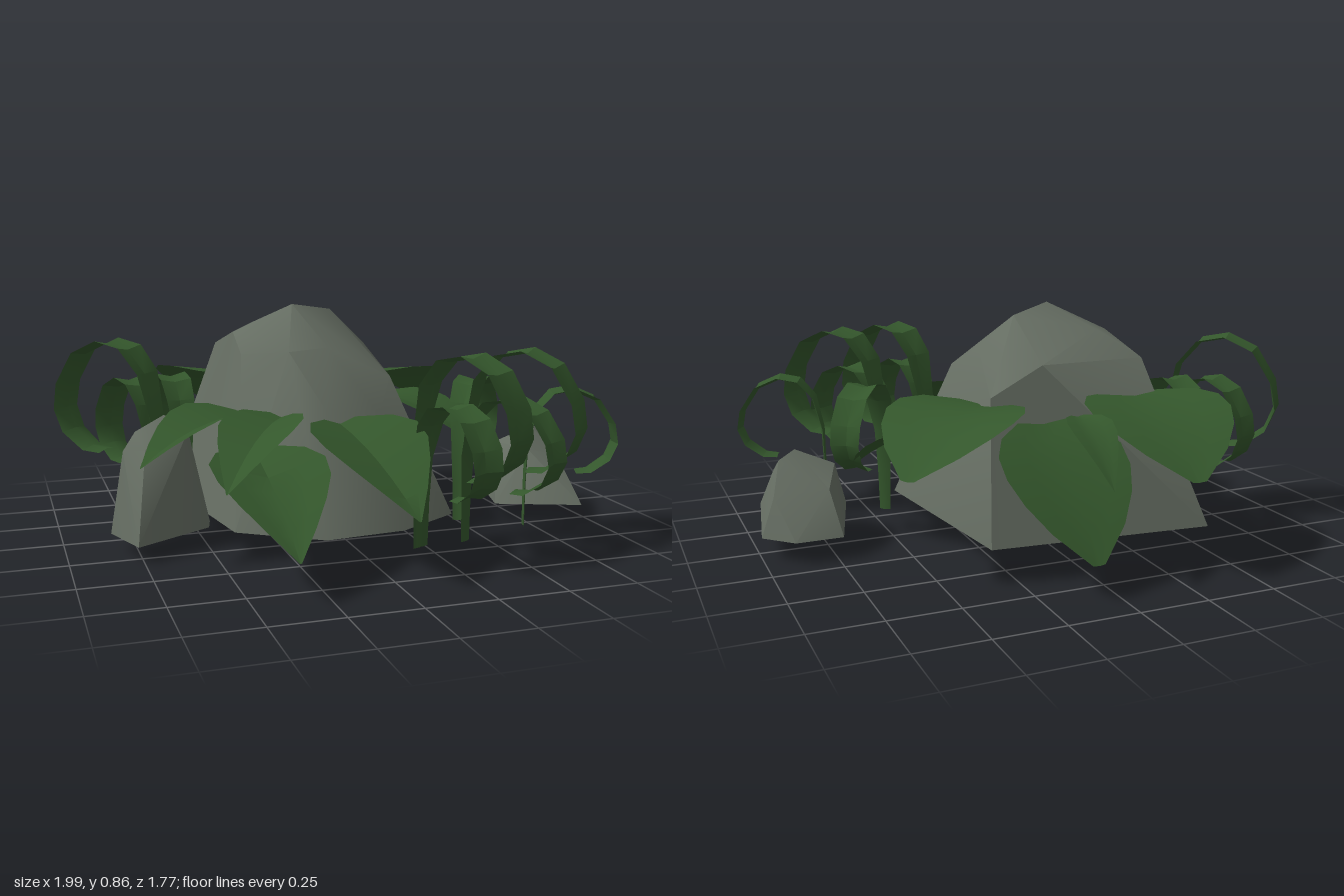
import * as THREE from 'three';
import { toCreasedNormals } from 'three/addons/utils/BufferGeometryUtils.js';
import { ConvexGeometry } from 'three/addons/geometries/ConvexGeometry.js';

const V = (x, y, z) => new THREE.Vector3(x, y, z);

// Surface through rows of points, all rows the same length
function loft(rows) {
  const n = rows[0].length, index = [];
  for (let i = 0; i < rows.length - 1; i++) {
    for (let j = 0; j < n - 1; j++) {
      const a = i * n + j, b = a + 1, c = a + n, d = c + 1;
      index.push(a, b, c, b, d, c);
    }
  }
  const geo = new THREE.BufferGeometry().setFromPoints(rows.flat());
  geo.setIndex(index);
  return toCreasedNormals(geo, 0.55);
}

// Broad leaf along an arched midrib, its two halves rising into a shallow V
const POINTED = [0.3, 0.78, 1, 0.95, 0.72, 0.4, 0.02];
const ROUND = [0.42, 0.82, 1, 1, 0.86, 0.58, 0.1];
function leafGeometry(base, tip, width, fold, arch, profile) {
  const mid = base.clone().lerp(tip, 0.5).add(V(0, arch * 2, 0));
  const rib = new THREE.QuadraticBezierCurve3(base, mid, tip);
  const side = V(tip.z - base.z, 0, base.x - tip.x).normalize();
  return loft(profile.map((w, i) => {
    const p = rib.getPoint(i / (profile.length - 1));
    return [-1, -0.55, 0, 0.55, 1].map((s) => p.clone()
      .addScaledVector(side, s * w * width / 2)
      .add(V(0, fold * w * Math.abs(s), 0)));
  }));
}

// Strap leaf: narrow stem that rises, arches over and curls back under
const ARCH = [[0, 0], [0, 0.3], [0.01, 0.6], [0.1, 0.84], [0.28, 0.97], [0.52, 1],
  [0.78, 0.93], [0.96, 0.76], [1, 0.62], [0.92, 0.5], [0.72, 0.41], [0.56, 0.4]];
const STRAP_W = [0.38, 0.45, 0.6, 0.9, 1, 1, 1, 1, 0.95, 0.9, 0.8, 0.65];
function strapGeometry(base, dir, reach, height, width) {
  const d = V(dir[0], 0, dir[1]).normalize();
  const side = V(d.z, 0, -d.x);
  const at = (i) => {
    const [s, y] = ARCH[Math.min(Math.max(i, 0), ARCH.length - 1)];
    return base.clone().addScaledVector(d, s * reach).add(V(0, y * height, 0));
  };
  return loft(ARCH.map((_, i) => {
    const tangent = at(i + 1).sub(at(i - 1)).normalize();
    const out = tangent.cross(side).normalize();
    return [-1, 0, 1].map((s) => at(i)
      .addScaledVector(side, s * STRAP_W[i] * width / 2)
      .addScaledVector(out, s === 0 ? -0.015 * STRAP_W[i] : 0));
  }));
}

export function createModel() {
  const group = new THREE.Group();
  const stone = new THREE.MeshStandardMaterial({ color: 0x656d62 });
  stone.name = 'stone grey';
  const green = new THREE.MeshStandardMaterial({ color: 0x34572c, side: THREE.DoubleSide });
  green.name = 'leaf green';

  const add = (name, geo, mat) => {
    const mesh = new THREE.Mesh(geo, mat);
    mesh.name = name;
    group.add(mesh);
  };
  const rock = (name, pts) => add(name,
    toCreasedNormals(new ConvexGeometry(pts.map((p) => V(...p))), 0.7), stone);

  // Main boulder
  rock('boulder', [
    [0.4, 0.08, 0.31], [0.3, 0.08, -0.5], [-0.52, 0.08, -0.57], [-0.5, 0.08, -0.15],
    [-0.43, 0.08, 0.3], [-0.15, 0.08, 0.49], [0.15, 0.08, 0.46],
    [-0.13, 0.855, 0], [0.05, 0.825, -0.1], [-0.34, 0.75, -0.08], [-0.24, 0.77, -0.2],
    [0.05, 0.68, -0.36], [0.25, 0.58, -0.37], [-0.35, 0.68, -0.35], [0.16, 0.7, -0.02],
    [-0.34, 0.68, 0.05], [-0.2, 0.7, 0.2], [-0.05, 0.71, 0.19], [0.18, 0.6, 0.22],
    [-0.36, 0.55, 0.12], [-0.1, 0.5, 0.33], [0.1, 0.48, 0.33],
  ]);
  // Flat stone under the boulder
  const footOutline = [[0.1, 0.16], [0.17, 0.3], [0.28, 0.28], [0.33, 0.12], [0.29, -0.01], [0.15, 0]];
  rock('footStone', footOutline.flatMap(([x, z]) => [[x, 0.045, z], [x, 0.1, z]]));
  // Side stones
  rock('leftStone', [
    [0.73, 0.08, -0.17], [0.9, 0.08, -0.17], [1, 0.08, -0.07], [0.93, 0.08, 0.35],
    [0.62, 0.08, 0.23], [0.7, 0.29, 0.06], [0.84, 0.35, 0.09], [0.91, 0.33, 0.03],
    [0.77, 0.28, 0.2], [0.9, 0.25, 0.2], [0.76, 0.24, -0.1], [0.95, 0.22, -0.06],
  ]);
  rock('rightStone', [
    [-0.84, 0.06, 0.11], [-0.6, 0.06, -0.05], [-0.47, 0.06, 0.06], [-0.49, 0.06, 0.14],
    [-0.77, 0.06, 0.31], [-0.79, 0.36, 0.12], [-0.74, 0.42, 0.08], [-0.63, 0.47, 0.05],
    [-0.55, 0.42, 0.08], [-0.57, 0.4, 0.14], [-0.72, 0.37, 0.18], [-0.61, 0.4, 0],
  ]);

  // Broad leaves: base, tip, width, fold, arch, outline
  [
    [[-0.3, 0.55, -0.37], [-0.27, 0.36, -0.89], 0.52, 0.03, 0.06, ROUND],
    [[0.1, 0.5, -0.48], [0.08, 0.12, -0.87], 0.46, 0.03, 0.04, ROUND],
    [[0.02, 0.54, -0.58], [0.03, 0.36, -0.87], 0.16, 0.02, 0.05, POINTED],
    [[0.24, 0.54, -0.29], [0.62, 0.38, -0.58], 0.5, 0.03, 0.06, ROUND],
    [[0.34, 0.45, -0.24], [0.63, 0.28, 0.05], 0.34, 0.03, 0.04, ROUND],
    [[-0.37, 0.48, 0.2], [-0.77, 0.36, 0.41], 0.28, 0.05, 0.04, POINTED],
    [[-0.37, 0.38, 0.35], [-0.36, 0.14, 0.88], 0.4, 0.06, 0.03, POINTED],
    [[-0.28, 0.5, 0.38], [-0.55, 0.33, 0.72], 0.28, 0.05, 0.04, POINTED],
    [[-0.06, 0.46, 0.36], [0.04, 0.23, 0.86], 0.42, 0.07, 0.03, POINTED],
  ].forEach(([b, t, w, f, a, outline]) =>
    add('broadLeaf', leafGeometry(V(...b), V(...t), w, f, a, outline), green));

  // Strap leaves: base, heading, reach, height, width
  [
    [[-0.63, 0, -0.08], [-0.73, -0.68], 0.43, 0.72, 0.15],
    [[-0.64, 0, -0.12], [-0.4, -0.9], 0.33, 0.57, 0.13],
    [[-0.53, 0.03, -0.1], [-0.13, -1], 0.31, 0.55, 0.12],
    [[0.2, 0.03, 0.5], [0.27, 0.96], 0.34, 0.53, 0.13],
    [[0.22, 0, 0.42], [0.5, 0.86], 0.42, 0.72, 0.15],
    [[0.4, 0.01, 0.43], [0.5, 0.86], 0.37, 0.55, 0.13],
    [[0.43, 0, 0.37], [0.68, 0.74], 0.42, 0.72, 0.15],
    [[0.66, 0.03, 0.38], [0.94, 0.33], 0.33, 0.53, 0.12],
    [[0.46, 0.03, 0.24], [0.66, -0.75], 0.33, 0.54, 0.12],
  ].forEach(([b, d, r, h, w]) =>
    add('strapLeaf', strapGeometry(V(...b), d, r, h, w), green));

  return group;
}
